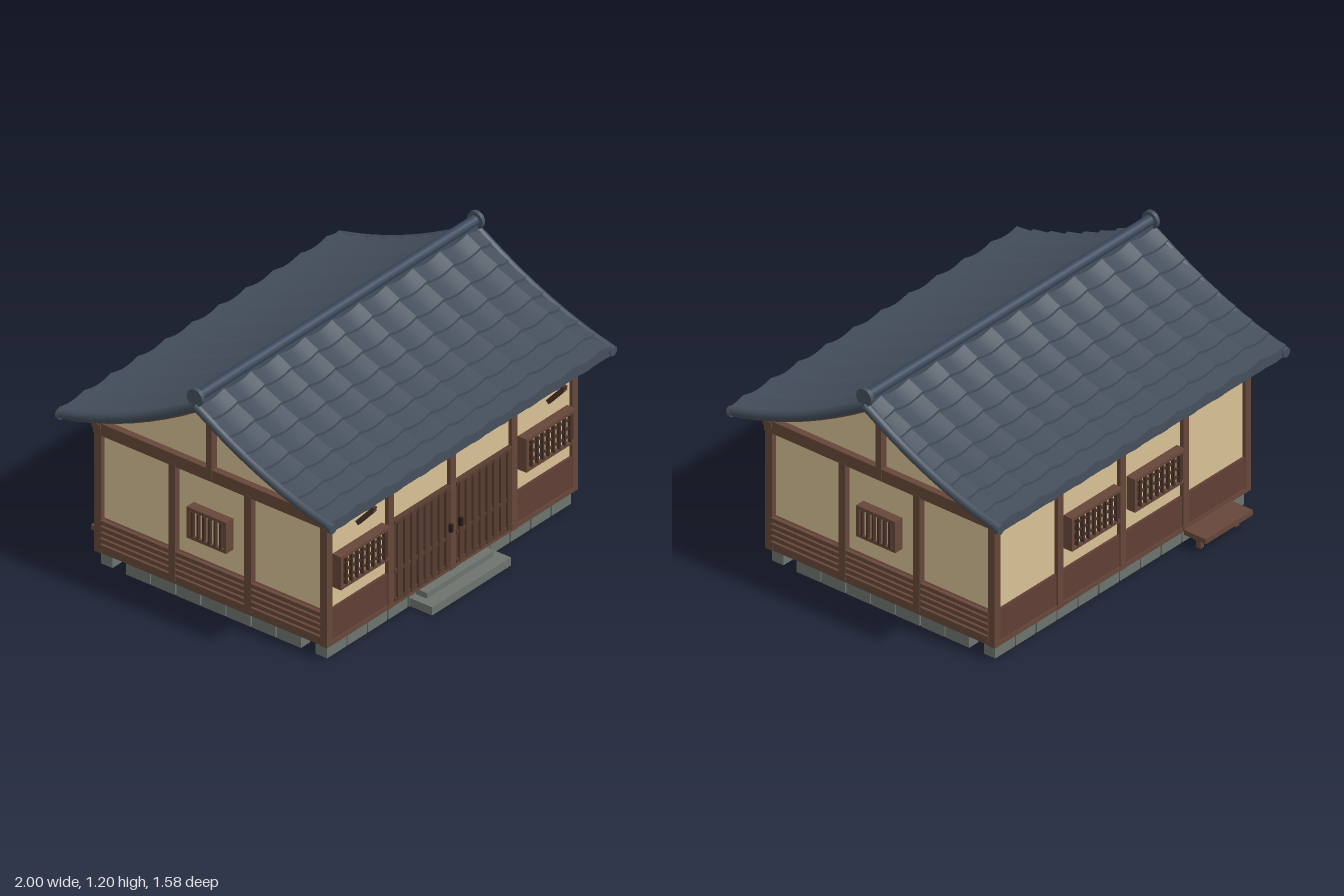
import * as THREE from 'three';
import { mergeGeometries } from 'three/addons/utils/BufferGeometryUtils.js';

const mat = (name, color, side = THREE.FrontSide) => {
  const m = new THREE.MeshStandardMaterial({ color, side });
  m.name = name;
  return m;
};

export function createModel() {
  const tile = mat('slate tile', 0x444f5c, THREE.DoubleSide);
  const ridgeMat = mat('ridge tile', 0x38475a);
  const plaster = mat('plaster', 0xd8c094);
  const wood = mat('timber', 0x664739);
  const board = mat('wainscot board', 0x603e34);
  const doorMat = mat('door wood', 0x573d31);
  const slatMat = mat('dark wood', 0x4a3328);
  const stone = mat('stone', 0x6c746e);
  const iron = mat('dark iron', 0x2a1d18);

  const model = new THREE.Group();
  model.name = 'house';
  const house = new THREE.Group();
  house.name = 'building';
  house.position.z = 0.008;
  model.add(house);

  const add = (parent, name, geo, m, x = 0, y = 0, z = 0) => {
    const mesh = new THREE.Mesh(geo, m);
    mesh.name = name;
    mesh.position.set(x, y, z);
    parent.add(mesh);
    return mesh;
  };
  const box = (parent, name, m, w, h, d, x, y, z) =>
    add(parent, name, new THREE.BoxGeometry(w, h, d), m, x, y, z);
  const group = (parent, name, ry = 0) => {
    const g = new THREE.Group();
    g.name = name;
    g.rotation.y = ry;
    parent.add(g);
    return g;
  };

  // Height of the curved roof at distance z from the ridge
  const roofY = (z) => 1.125 - 0.64 * z + 0.27 * z * z;
  // Symmetric slab or solid below the roof curve, running along x
  const underRoof = (half, top, bottom, length) => {
    const s = new THREE.Shape();
    const n = 16;
    for (let i = 0; i <= n; i++) {
      const z = -half + (2 * half * i) / n;
      const y = roofY(Math.abs(z)) - top;
      i ? s.lineTo(z, y) : s.moveTo(z, y);
    }
    for (let i = n; i >= 0; i--) {
      const z = -half + (2 * half * i) / n;
      s.lineTo(z, bottom(Math.abs(z)));
    }
    return new THREE.ExtrudeGeometry(s, { depth: length, bevelEnabled: false })
      .translate(0, 0, -length / 2).rotateY(-Math.PI / 2);
  };

  // Walls, floor and gables
  box(house, 'walls', plaster, 1.7, 0.69, 1.29, 0, 0.42, 0);
  box(house, 'floor', slatMat, 1.7, 0.012, 1.29, 0, 0.069, 0);
  add(house, 'gables', underRoof(0.62, 0.04, () => 0.72, 1.7), plaster);

  // Stone footing
  for (const s of [-1, 1]) {
    for (let i = 0; i < 12; i++)
      box(house, 'footingStone', stone, 0.134, 0.072, 0.065, -0.784 + i * 0.1425, 0.036, s * 0.61);
    for (let i = 0; i < 7; i++)
      box(house, 'sideFootingStone', stone, 0.065, 0.072, 0.136, s * 0.823, 0.036, (i - 3) * 0.143);
  }

  // Lattice window facing +z with its back at z = 0
  const latticeWindow = (parent, x, z, w, h, nv, nh) => {
    const g = group(parent, 'latticeWindow');
    g.position.set(x, 0.44, z);
    box(g, 'pane', plaster, w - 0.01, h - 0.01, 0.036, 0, 0, 0.018);
    for (const s of [-1, 1]) {
      box(g, 'frameRail', wood, w, 0.016, 0.05, 0, s * (h / 2 - 0.008), 0.025);
      box(g, 'frameStile', wood, 0.016, h, 0.05, s * (w / 2 - 0.008), 0, 0.025);
    }
    for (let i = 1; i <= nv; i++)
      box(g, 'verticalBar', slatMat, 0.01, h - 0.03, 0.018, -w / 2 + (w * i) / (nv + 1), 0, 0.045);
    for (let i = 1; i <= nh; i++)
      box(g, 'crossBar', slatMat, w - 0.03, 0.009, 0.01, 0, -h / 2 + (h * i) / (nh + 1), 0.04);
  };

  // Timber frame shared by front and back
  const longSide = (name, ry) => {
    const g = group(house, name, ry);
    for (const x of [-0.43, 0, 0.43]) box(g, 'post', wood, 0.038, 0.62, 0.04, x, 0.38, 0.645);
    for (const x of [-0.858, 0.858]) box(g, 'cornerPost', wood, 0.038, 0.62, 0.04, x, 0.38, 0.642);
    box(g, 'sill', wood, 1.74, 0.022, 0.04, 0, 0.082, 0.643);
    box(g, 'lowerBeam', wood, 1.76, 0.035, 0.045, 0, 0.697, 0.643);
    box(g, 'upperBeam', wood, 1.78, 0.024, 0.05, 0, 0.726, 0.64);
    for (let i = 0; i < 23; i++)
      box(g, 'rafter', wood, 0.022, 0.022, 0.11, (i - 11) * 0.076, 0.745, 0.69).rotation.x = 0.1;
    return g;
  };
  const wainscot = (g, x) => box(g, 'wainscot', board, 0.39, 0.165, 0.016, x, 0.17, 0.65);

  // Front
  const front = longSide('front', 0);
  for (const s of [-1, 1]) {
    wainscot(front, s * 0.645);
    latticeWindow(front, s * 0.647, 0.646, 0.345, 0.17, 8, 3);

    // Sliding slatted door
    const door = group(front, 'slidingDoor');
    door.position.x = s * 0.215;
    box(door, 'doorPanel', doorMat, 0.39, 0.42, 0.02, 0, 0.3, 0.652);
    for (let i = 0; i < 8; i++)
      box(door, 'doorSlat', doorMat, 0.022, 0.41, 0.012, (i - 3.5) * 0.048, 0.3, 0.668);
    for (const y of [0.103, 0.25, 0.5]) box(door, 'doorRail', doorMat, 0.39, 0.018, 0.01, 0, y, 0.665);
    box(front, 'doorHandle', iron, 0.014, 0.04, 0.02, s * 0.036, 0.305, 0.68);

    // Eave strut
    const strut = box(front, 'eaveStrut', slatMat, 0.022, 0.022, 0.135, s * 0.665, 0.673, 0.712);
    strut.rotation.x = -0.84;
    box(front, 'strutArm', slatMat, 0.022, 0.018, 0.11, s * 0.665, 0.738, 0.71).rotation.x = 0.2;
  }
  box(front, 'lowerStep', stone, 0.55, 0.042, 0.17, 0, 0.021, 0.685);
  box(front, 'upperStep', stone, 0.465, 0.07, 0.1, 0, 0.035, 0.655);

  // Back
  const back = longSide('back', Math.PI);
  for (const x of [-0.645, -0.215, 0.215, 0.645]) wainscot(back, x);
  for (const s of [-1, 1]) latticeWindow(back, s * 0.215, 0.646, 0.345, 0.17, 8, 3);

  // Bench behind the house
  const bench = group(model, 'bench');
  bench.position.set(-0.57, 0, -0.725);
  box(bench, 'benchSeat', wood, 0.325, 0.025, 0.125, 0, 0.073, 0);
  for (const s of [-1, 1]) box(bench, 'benchLeg', wood, 0.025, 0.062, 0.025, s * 0.12, 0.031, 0.005);

  // Gable ends, built facing +z and turned to each side
  for (const s of [-1, 1]) {
    const g = group(house, s > 0 ? 'leftEnd' : 'rightEnd', s * Math.PI / 2);
    for (const x of [-0.215, 0.215]) box(g, 'sidePost', wood, 0.038, 0.6, 0.04, x, 0.39, 0.862);
    box(g, 'sideSill', wood, 1.3, 0.022, 0.04, 0, 0.082, 0.853);
    box(g, 'sideLowerBeam', wood, 1.3, 0.035, 0.045, 0, 0.697, 0.858);
    box(g, 'sideUpperBeam', wood, 1.32, 0.03, 0.05, 0, 0.73, 0.86);
    box(g, 'kingPost', wood, 0.032, 0.39, 0.05, 0, 0.895, 0.863);
    box(g, 'sideWainscot', board, 1.26, 0.155, 0.012, 0, 0.165, 0.852);
    for (let i = 0; i < 5; i++)
      box(g, 'sideBatten', wood, 1.26, 0.02, 0.03, 0, 0.107 + i * 0.031, 0.865);
    latticeWindow(g, 0, 0.855, 0.225, 0.16, 6, 0);
  }

  // Wooden deck under the tiles
  const roof = group(house, 'roof');
  add(roof, 'roofDeck', underRoof(0.73, 0.03, (z) => roofY(z) - 0.05, 1.92), wood);

  // Overlapping rows of scalloped tiles, one strip per tile so the seams stay sharp
  const rows = 8, half = 0.98, eave = 0.775, pitch = 0.1885;
  const strip = (x0, x1, side, rule) => {
    const geo = new THREE.PlaneGeometry(1, 1, 8, 1);
    const p = geo.attributes.position;
    for (let i = 0; i < p.count; i++) {
      const x = x0 + (x1 - x0) * (p.getX(i) + 0.5);
      const wave = 0.016 * (1 - Math.abs(Math.sin((Math.PI * (x + 0.995)) / pitch)));
      const [y, z] = rule(p.getY(i) + 0.5, wave);
      p.setXYZ(i, x, y, side * z);
    }
    geo.computeVertexNormals();
    return geo;
  };
  for (const side of [1, -1]) {
    const parts = [];
    for (let r = 0; r < rows; r++) {
      const z0 = (eave * r) / rows, z1 = (eave * (r + 1)) / rows;
      const low = r === rows - 1 ? 0.036 : 0.006;
      for (let x = -0.995; x < half; x += pitch) {
        const a = Math.max(x, -half), b = Math.min(x + pitch, half);
        parts.push(strip(a, b, side, (v, w) => {
          const z = z1 + (z0 - z1) * v;
          return [roofY(z) + w + 0.013 * (1 - v), z];
        }));
        parts.push(strip(a, b, side, (v, w) => [roofY(z1) + w + 0.013 * v - low * (1 - v), z1]));
      }
    }
    add(roof, side > 0 ? 'frontTiles' : 'backTiles', mergeGeometries(parts), tile);
  }
  add(roof, 'tileBed', underRoof(0.77, 0.002, (z) => roofY(z) - 0.038, 1.955), tile);

  // Rolled tiles along the gable edges
  const edge = [0, 0.2, 0.4, 0.6, 0.78].map((z) => new THREE.Vector3(0, roofY(z) - 0.01, z));
  const roll = new THREE.TubeGeometry(new THREE.CatmullRomCurve3(edge), 20, 0.022, 10);
  for (const sx of [-1, 1])
    for (const sz of [-1, 1]) {
      const g = group(roof, 'gableEdge', sz > 0 ? 0 : Math.PI);
      g.position.x = sx * 0.978;
      add(g, 'edgeRoll', roll, tile);
      add(g, 'edgeCap', new THREE.CylinderGeometry(0.024, 0.024, 0.02, 12).rotateX(Math.PI / 2),
        tile, 0, roofY(0.78) - 0.012, 0.772);
    }

  // Ridge roll with round end caps
  const along = (r, l) => new THREE.CylinderGeometry(r, r, l, 14).rotateZ(Math.PI / 2);
  add(roof, 'ridge', along(0.026, 1.95), ridgeMat, 0, 1.158, 0);
  box(roof, 'ridgeBase', tile, 1.95, 0.045, 0.04, 0, 1.125, 0);
  for (const s of [-1, 1]) add(roof, 'ridgeCap', along(0.044, 0.02), tile, s * 0.978, 1.158, 0);

  return model;
}
